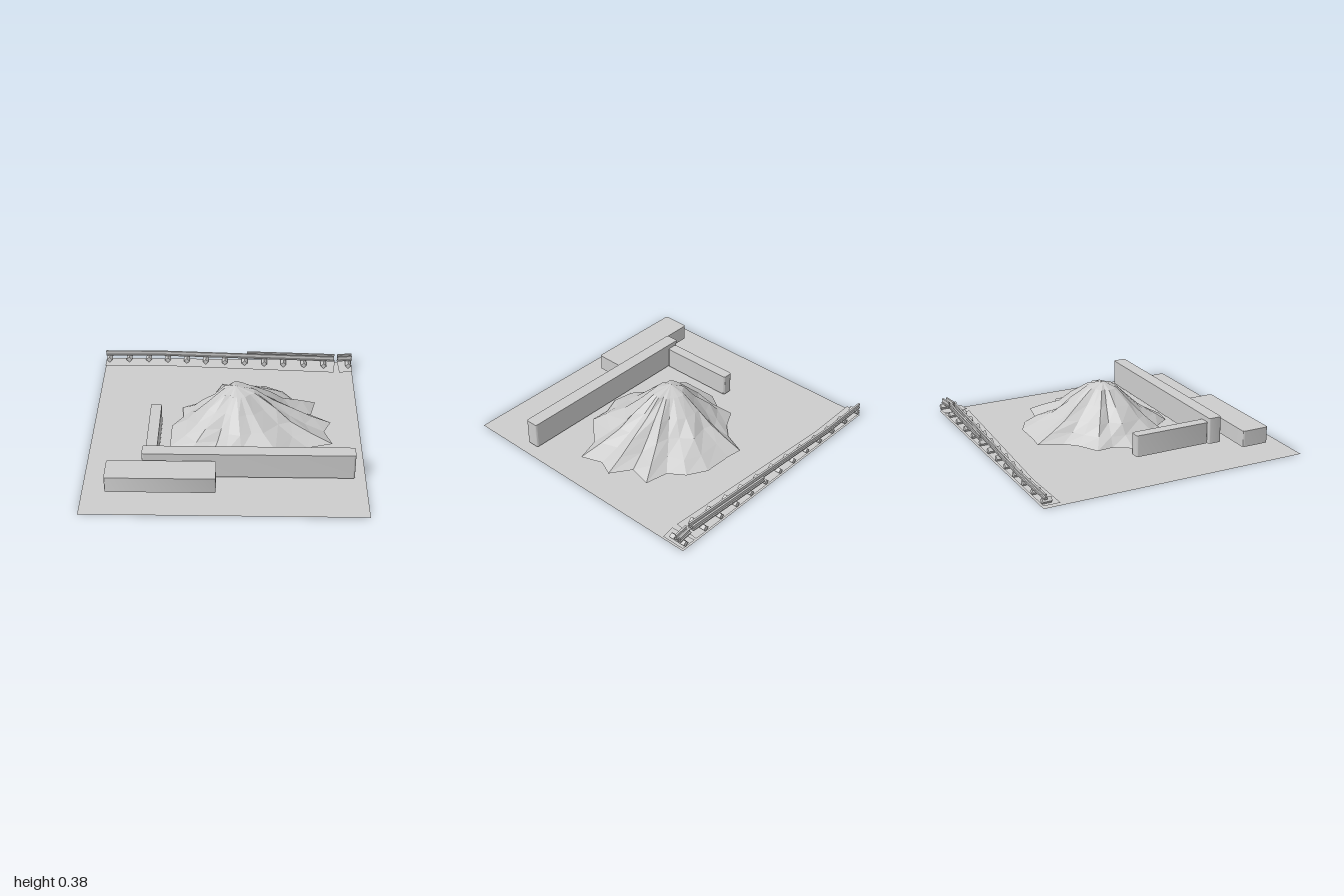
import * as THREE from 'three';
import { toCreasedNormals } from 'three/addons/utils/BufferGeometryUtils.js';

const grey = new THREE.MeshStandardMaterial({ color: 0xcccccc, side: THREE.DoubleSide });
grey.name = 'plain grey';
const rockGrey = grey.clone();
rockGrey.flatShading = true;

function mesh(name, geometry, parent, material = grey) {
  const m = new THREE.Mesh(geometry, material);
  m.name = name;
  parent.add(m);
  return m;
}

// Upright block with slightly rounded corners in plan
function block(name, x0, x1, z0, z1, y0, y1, parent) {
  const w = (x1 - x0) / 2, d = (z1 - z0) / 2, r = 0.014;
  const s = new THREE.Shape();
  s.absarc(w - r, d - r, r, 0, Math.PI / 2);
  s.absarc(-w + r, d - r, r, Math.PI / 2, Math.PI);
  s.absarc(-w + r, -d + r, r, Math.PI, Math.PI * 1.5);
  s.absarc(w - r, -d + r, r, Math.PI * 1.5, Math.PI * 2);
  s.closePath();
  const g = new THREE.ExtrudeGeometry(s, { depth: y1 - y0, bevelEnabled: false, curveSegments: 4 });
  g.rotateX(-Math.PI / 2);
  mesh(name, toCreasedNormals(g, 0.7), parent)
    .position.set((x0 + x1) / 2, y0, (z0 + z1) / 2);
}

// Faceted heap: the foot outline shrinks ring by ring towards the peak
function moundGeometry() {
  const foot = [
    [-0.04, -0.62], [0.075, -0.605], [0.29, -0.6], [0.43, -0.52], [0.51, -0.405], [0.68, -0.37],
    [0.64, -0.2], [0.785, -0.1], [0.73, 0.02], [0.785, 0.175], [0.6, 0.23], [0.42, 0.43],
    [0.27, 0.425], [0.13, 0.48], [-0.01, 0.455], [-0.1, 0.335], [-0.29, 0.34], [-0.41, 0.235],
    [-0.41, -0.035], [-0.33, -0.16], [-0.34, -0.285], [-0.2, -0.36], [-0.11, -0.45],
  ];
  const rings = [[0.2, 0.345], [0.4, 0.245], [0.6, 0.15], [0.8, 0.08], [1, 0.02]];
  const px = 0.065, pz = -0.04, n = foot.length;
  let seed = 7;
  const rand = () => (seed = (seed * 16807) % 2147483647) / 2147483647 - 0.5;
  const pos = [px, 0.385, pz], index = [];
  rings.forEach(([t, y], k) => {
    for (const [x, z] of foot) {
      const f = t === 1 ? 1 : t * (1 + 0.14 * rand());
      pos.push(px + (x - px) * f, y, pz + (z - pz) * f);
    }
    for (let i = 0; i < n; i++) {
      const j = (i + 1) % n, a = 1 + k * n + i, b = 1 + k * n + j;
      if (k === 0) index.push(0, b, a);
      else index.push(a - n, b, a, a - n, b - n, b);
    }
  });
  const g = new THREE.BufferGeometry();
  g.setAttribute('position', new THREE.Float32BufferAttribute(pos, 3));
  g.setIndex(index);
  const flat = g.toNonIndexed();
  flat.computeVertexNormals();
  return flat;
}

// Flat polygon lying at height y, given as [x, z] corners
function flatPatch(points, y) {
  const s = new THREE.Shape(points.map(([x, z]) => new THREE.Vector2(x, -z)));
  return new THREE.ShapeGeometry(s).rotateX(-Math.PI / 2).translate(0, y, 0);
}

// Straight length of rail made of foot, web and head
function rail(x0, z0, x1, z1, parent) {
  const g = new THREE.Group();
  g.name = 'rail';
  const length = Math.hypot(x1 - x0, z1 - z0);
  for (const [name, h, w, y] of [
    ['railFoot', 0.01, 0.024, 0.067],
    ['railWeb', 0.018, 0.007, 0.08],
    ['railHead', 0.011, 0.014, 0.094],
  ]) mesh(name, new THREE.BoxGeometry(length, h, w), g).position.y = y;
  g.position.set((x0 + x1) / 2, 0, (z0 + z1) / 2);
  g.rotation.y = -Math.atan2(z1 - z0, x1 - x0);
  parent.add(g);
}

export function createModel() {
  const model = new THREE.Group();
  model.name = 'yard';

  mesh('ground', new THREE.PlaneGeometry(2, 2).rotateX(-Math.PI / 2), model);
  mesh('mound', moundGeometry(), model, rockGrey);

  block('longWall', -0.585, 0.92, 0.49, 0.59, 0.02, 0.215, model);
  block('sideWall', -0.565, -0.485, -0.09, 0.49, 0.02, 0.18, model);
  block('frontBlock', -0.83, -0.06, 0.62, 0.825, 0.06, 0.18, model);

  const track = new THREE.Group();
  track.name = 'track';
  model.add(track);

  // Track bed in two pieces with a narrow gap
  mesh('trackBed', flatPatch([[-1, -1], [-1, -0.88], [-0.58, -0.89], [0.85, -0.81], [0.87, -1]], 0.02), track);
  mesh('trackBedEnd', flatPatch([[0.885, -1], [0.895, -0.81], [1, -0.825], [1, -1]], 0.02), track);

  // Near rail, and the far rail where it lies inside the plot
  rail(-1, -0.983, -0.58, -0.988, track);
  rail(-0.58, -0.988, 0.855, -0.922, track);
  rail(0.885, -0.922, 1, -0.936, track);
  rail(0.15, -0.987, 0.86, -0.957, track);
  rail(0.885, -0.957, 1, -0.97, track);

  // Diamond-section sleepers, cut off at the back edge
  const sleepers = [
    [-0.97, -0.932], [-0.81, -0.938], [-0.65, -0.94], [-0.495, -0.935], [-0.34, -0.925],
    [-0.185, -0.915], [-0.03, -0.907], [0.13, -0.9], [0.29, -0.89], [0.445, -0.882],
    [0.61, -0.875], [0.77, -0.867], [0.97, -0.872],
  ];
  for (const [x, zEnd] of sleepers) {
    const g = new THREE.CylinderGeometry(0.023, 0.023, zEnd + 1, 4).rotateX(Math.PI / 2);
    const s = mesh('sleeper', g, track, rockGrey);
    s.position.set(x, 0.043, (zEnd - 1) / 2);
  }
  return model;
}
